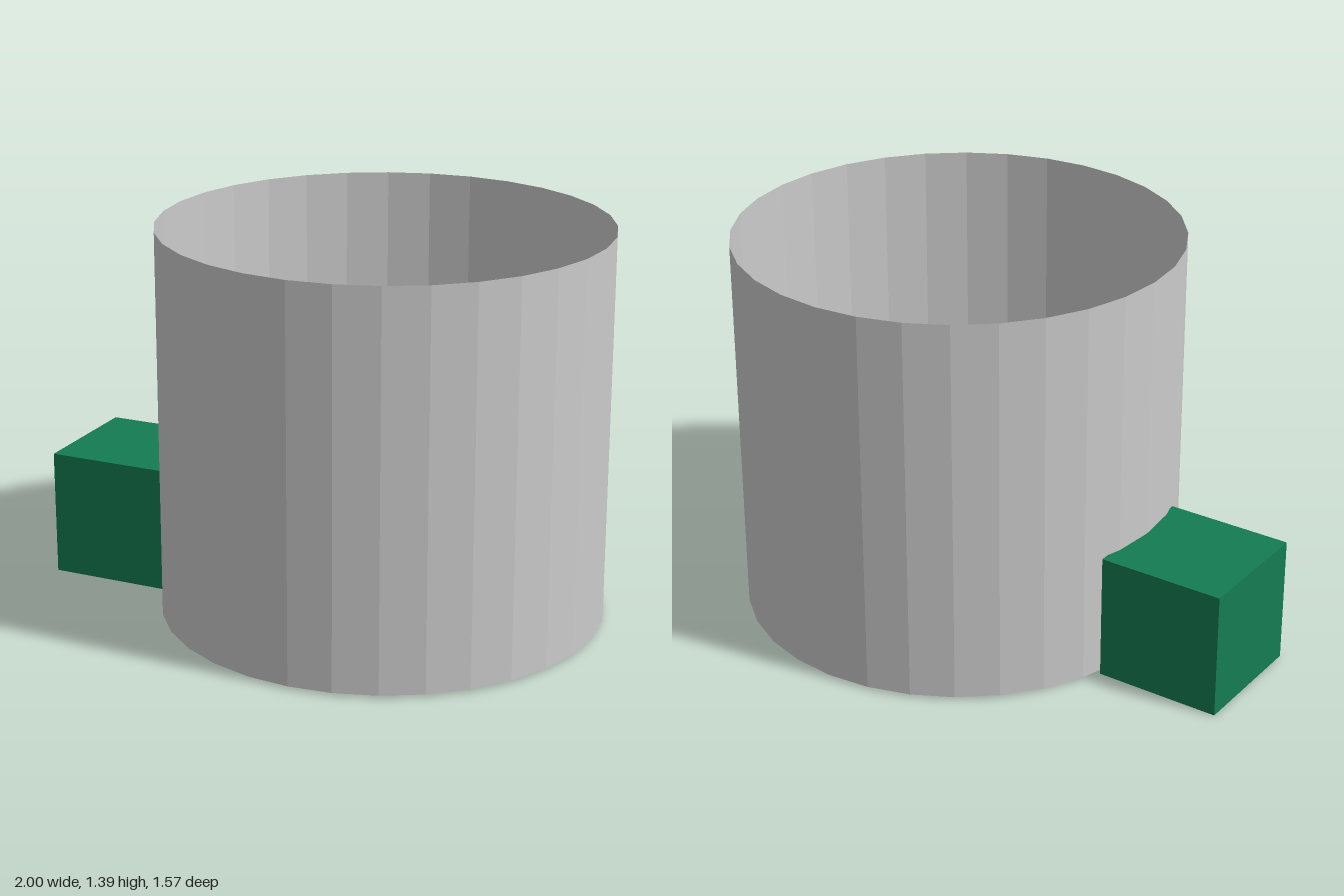
import * as THREE from 'three';

const material = (color, extra = {}) => new THREE.MeshStandardMaterial({ color, ...extra });

function addMesh(parent, name, geometry, mat, x, y, z) {
  const mesh = new THREE.Mesh(geometry, mat);
  mesh.name = name;
  mesh.position.set(x, y, z);
  parent.add(mesh);
  return mesh;
}

export function createModel() {
  const model = new THREE.Group();
  model.name = 'tubWithBlock';

  const grey = material(0xcccccc, { flatShading: true, side: THREE.DoubleSide });
  const green = material(0x147c52);
  const brown = material(0x5a4330);
  const gold = material(0x9a7428);

  // Open tub: thin faceted wall and a floor disc
  const radius = 0.785, bottom = 0.008, top = 1.39, sides = 32;
  const tub = new THREE.Group();
  tub.name = 'tub';
  tub.position.x = 0.21;
  model.add(tub);
  addMesh(tub, 'tubWall', new THREE.CylinderGeometry(radius, radius, top - bottom, sides, 1, true),
    grey, 0, (top + bottom) / 2, 0);
  addMesh(tub, 'tubFloor', new THREE.CircleGeometry(radius, sides), grey, 0, bottom, 0)
    .rotation.x = -Math.PI / 2;

  // Green block set slightly into the wall
  addMesh(model, 'block', new THREE.BoxGeometry(0.455, 0.455, 0.455), green, -0.7725, 0.2275, -0.01);

  // Small stool on the tub floor
  const stool = new THREE.Group();
  stool.name = 'stool';
  stool.position.set(-0.425, 0, -0.262);
  stool.rotation.y = -0.37;
  model.add(stool);
  addMesh(stool, 'stoolSeat', new THREE.BoxGeometry(0.098, 0.02, 0.098), brown, 0, 0.1, 0);
  addMesh(stool, 'stoolPad', new THREE.BoxGeometry(0.046, 0.012, 0.04), gold, 0, 0.116, 0);
  for (const x of [-0.036, 0.036]) {
    for (const z of [-0.036, 0.036]) {
      addMesh(stool, 'stoolLeg', new THREE.BoxGeometry(0.016, 0.086, 0.016), brown, x, 0.048, z);
    }
  }
  return model;
}
